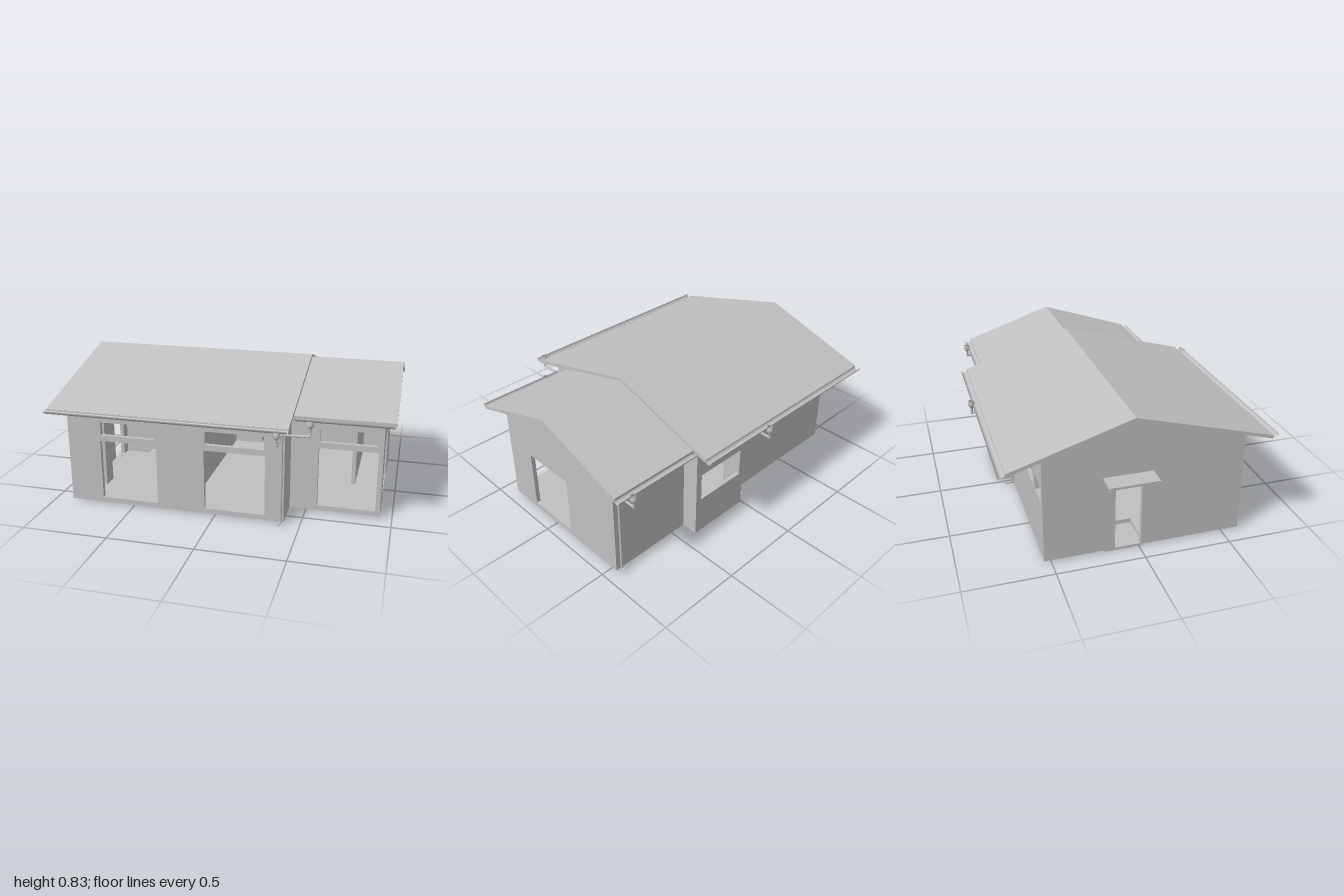
import * as THREE from 'three';

export function createModel() {
  const group = new THREE.Group();
  const grey = new THREE.MeshStandardMaterial({ color: 0xc0c0c0, side: THREE.DoubleSide });
  grey.name = 'plain grey';

  const T = 0.025; // wall thickness
  const BASE = 0.01;

  const add = (name, geometry, x = 0, y = 0, z = 0) => {
    const mesh = new THREE.Mesh(geometry, grey);
    mesh.name = name;
    mesh.position.set(x, y, z);
    group.add(mesh);
    return mesh;
  };
  const box = (name, x0, x1, y0, y1, z0, z1) =>
    add(name, new THREE.BoxGeometry(x1 - x0, y1 - y0, z1 - z0), (x0 + x1) / 2, (y0 + y1) / 2, (z0 + z1) / 2);

  // Outline with rectangular holes [u0, u1, v0, v1], pushed to a depth
  const panel = (outline, holes, depth) => {
    const shape = new THREE.Shape(outline.map(([u, v]) => new THREE.Vector2(u, v)));
    for (const [u0, u1, v0, v1] of holes) {
      shape.holes.push(new THREE.Path([[u0, v0], [u0, v1], [u1, v1], [u1, v0]].map(([u, v]) => new THREE.Vector2(u, v))));
    }
    return new THREE.ExtrudeGeometry(shape, { depth, bevelEnabled: false });
  };
  // Wall along x, filling z to z + T
  const longWall = (name, x0, x1, top, z, holes = []) =>
    add(name, panel([[x0, BASE], [x1, BASE], [x1, top], [x0, top]], holes, T), 0, 0, z);
  // Profile in the z-y plane, running from x0 to x1
  const crossPart = (name, outline, holes, x0, x1) =>
    add(name, panel(outline, holes, x1 - x0).rotateY(-Math.PI / 2), x1);

  // Roofs: ridge and eave points [z, y]
  const ROOF = 0.02;
  const mainRoof = { front: [0.73, 0.615], ridge: [-0.058, 0.83], back: [-0.73, 0.618] };
  const wingRoof = { front: [0.515, 0.622], ridge: [-0.065, 0.814], back: [-0.632, 0.622] };
  const underside = (roof, z) => {
    const [ez, ey] = z > roof.ridge[0] ? roof.front : roof.back;
    return roof.ridge[1] + (ey - roof.ridge[1]) * (z - roof.ridge[0]) / (ez - roof.ridge[0]) - ROOF;
  };
  const roofPart = (name, r, x0, x1) => {
    const top = [r.front, r.ridge, r.back];
    crossPart(name, [...top, ...top.map(([z, y]) => [z, y - ROOF]).reverse()], [], x0, x1);
  };
  roofPart('mainRoof', mainRoof, -0.95, 0.445);
  roofPart('wingRoof', wingRoof, 0.4, 0.995);

  // Gable walls
  const gable = (name, roof, x0, zBack, zFront, holes = []) => crossPart(name, [
    [zBack, BASE], [zFront, BASE], [zFront, underside(roof, zFront)],
    [roof.ridge[0], roof.ridge[1] - ROOF], [zBack, underside(roof, zBack)],
  ], holes, x0, x0 + T);
  gable('leftGable', mainRoof, -0.89, -0.54, 0.6, [[-0.14, 0.01, 0.015, 0.42]]);
  gable('middleGable', mainRoof, 0.38, -0.54, 0.6);
  gable('rightGable', wingRoof, 0.905, -0.54, 0.4, [[-0.14, 0.195, 0.04, 0.4]]);

  // Front walls: a tall opening below a high window in each bay
  const bay = (x0, x1) => [[x0, x1, 0.04, 0.4], [x0 + 0.007, x1 - 0.007, 0.435, 0.515]];
  longWall('mainFrontWall', -0.89, 0.4, underside(mainRoof, 0.6), 0.6 - T, [...bay(-0.69, -0.345), ...bay(-0.06, 0.295)]);
  longWall('wingFrontWall', 0.4, 0.93, underside(wingRoof, 0.4), 0.4 - T, bay(0.565, 0.905 - 0.002));

  // Back walls and projecting bay
  longWall('mainBackWall', -0.89, 0.015 + T, underside(mainRoof, -0.54), -0.54,
    [[-0.86, -0.72], [-0.67, -0.44], [-0.405, -0.17]].map(([a, b]) => [a, b, 0.365, 0.46]));
  longWall('wingBackWall', 0.385, 0.93, underside(wingRoof, -0.54), -0.54);
  const bayTop = underside(mainRoof, -0.64);
  longWall('bayBackWall', 0.015, 0.41, bayTop, -0.64, [[0.045, 0.37, 0.245, 0.42]]);
  for (const x of [0.015, 0.385]) {
    crossPart('baySideWall', [[-0.64, BASE], [-0.54, BASE], [-0.54, underside(mainRoof, -0.54)], [-0.64, bayTop]], [], x, x + T);
  }

  // Floor slab with a lowered entrance
  const floor = [[-0.89, 0.6], [0.4, 0.6], [0.4, 0.4], [0.93, 0.4], [0.93, -0.54], [0.41, -0.54], [0.41, -0.64],
    [0.015, -0.64], [0.015, -0.54], [-0.89, -0.54], [-0.89, -0.2], [-0.68, -0.2], [-0.68, 0.02], [-0.89, 0.02]];
  add('floorSlab', panel(floor, [], 0.03).rotateX(Math.PI / 2), 0, 0.04, 0);
  box('entranceFloor', -0.89, -0.68, 0, 0.014, -0.2, 0.02);

  // Interior partitions
  box('roomPartition', -0.178, -0.153, 0.04, 0.62, -0.53, 0.59);
  box('hallPartition', -0.87, -0.5, 0.04, 0.62, -0.23, -0.205);
  box('hallPartition', -0.44, -0.165, 0.04, 0.62, -0.23, -0.205);
  box('innerPost', -0.77, -0.745, 0.04, 0.6, 0.33, 0.42);
  box('wingPartition', 0.73, 0.755, 0.04, 0.61, -0.53, 0.05);

  // Canopy over the side door
  box('canopy', -1, -0.88, 0.459, 0.473, -0.21, 0.07);

  // Half-round gutters
  const gutter = (x0, x1, z) => {
    const g = new THREE.CylinderGeometry(0.02, 0.02, x1 - x0, 12, 1, true, Math.PI, Math.PI).rotateZ(Math.PI / 2);
    add('gutter', g, (x0 + x1) / 2, 0.617, z);
  };
  gutter(-0.945, 0.445, 0.748);
  gutter(-0.945, 0.445, -0.75);
  gutter(0.445, 0.985, 0.53);
  gutter(0.445, 0.995, -0.65);

  // Rainwater heads and pipes
  const funnel = [[0.007, 0.53], [0.007, 0.565], [0.014, 0.575], [0.02, 0.582], [0.02, 0.597], [0.016, 0.606], [0.016, 0.612]];
  const head = (x, z) => add('rainHead', new THREE.LatheGeometry(funnel.map(([r, y]) => new THREE.Vector2(r, y)), 12), x, 0, z);
  const pipe = (name, points) => {
    const path = new THREE.CurvePath();
    const v = points.map((p) => new THREE.Vector3(...p));
    for (let i = 1; i < v.length; i++) {
      const run = new THREE.LineCurve3(v[i - 1], v[i]);
      add(name, new THREE.TubeGeometry(run, 1, 0.007, 8));
      if (i < v.length - 1) add('pipeElbow', new THREE.SphereGeometry(0.009, 8, 6), ...points[i]);
    }
    return path;
  };
  const downpipe = (x, zHead, zWall) => {
    const out = Math.sign(zHead);
    head(x, zHead);
    pipe('downpipe', [[x, 0.56, zHead], [x, 0.537, zHead], [x, 0.537, zWall], [x, 0.016, zWall], [x, 0.016, zWall + out * 0.05]]);
  };
  downpipe(0.39, 0.768, 0.608);
  downpipe(-0.045, -0.77, -0.55);
  downpipe(0.9, -0.67, -0.55);

  // Wing front head joins the main downpipe
  head(0.535, 0.553);
  pipe('linkPipe', [[0.535, 0.56, 0.553], [0.535, 0.537, 0.553], [0.535, 0.537, 0.597], [0.39, 0.537, 0.608]]);

  return group;
}
